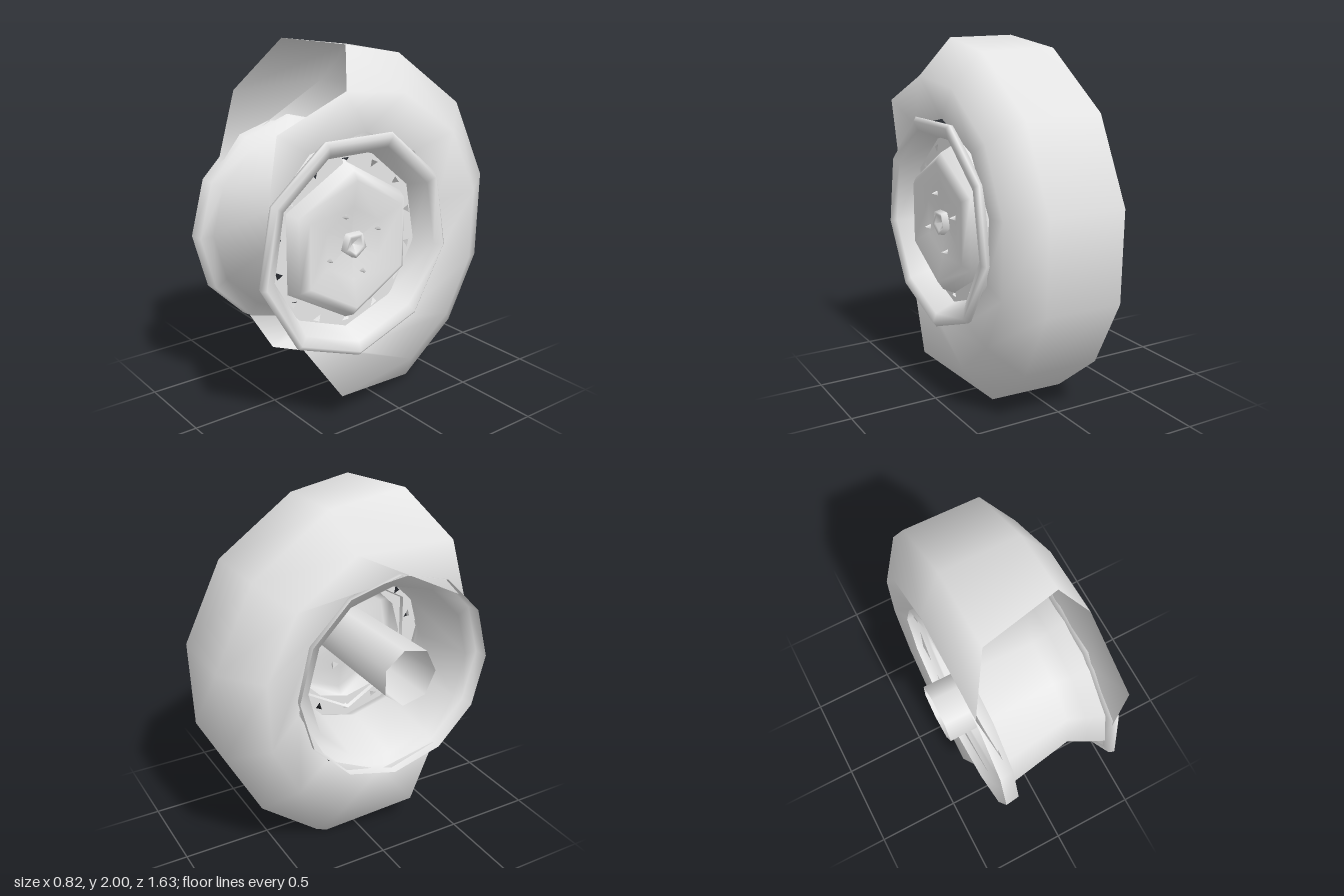
import * as THREE from 'three';

const grey = new THREE.MeshStandardMaterial({ color: 0xe6e6e6, side: THREE.DoubleSide });
grey.name = 'plain grey';
const RAD = Math.PI / 180;

function add(parent, name, geometry) {
  const mesh = new THREE.Mesh(geometry, grey);
  mesh.name = name;
  parent.add(mesh);
  return mesh;
}

// Profile of [radius, x] points turned around the axle, one corner straight down
function turned(parent, name, profile, sides) {
  const points = profile.map(([r, x]) => new THREE.Vector2(r, x));
  const geo = new THREE.LatheGeometry(points, sides, Math.PI / 2);
  return add(parent, name, geo.rotateZ(-Math.PI / 2));
}

// Cut-open band; stations are [x, radius, angles, normalX, normalR] from +x to -x,
// with angles in degrees running from the top towards the back
function band(parent, name, stations) {
  const pos = [], nor = [], idx = [];
  const row = stations[0][2].length;
  stations.forEach(([x, r, angles, nx, nr], j) => {
    const len = Math.hypot(nx, nr);
    angles.forEach((deg, i) => {
      const c = Math.cos(deg * RAD), s = -Math.sin(deg * RAD);
      pos.push(x, r * c, r * s);
      nor.push(nx / len, nr / len * c, nr / len * s);
      if (j && i) {
        const b = j * row + i, d = b - row;
        idx.push(d - 1, b - 1, d, d, b - 1, b);
      }
    });
  });
  const geo = new THREE.BufferGeometry();
  geo.setAttribute('position', new THREE.Float32BufferAttribute(pos, 3));
  geo.setAttribute('normal', new THREE.Float32BufferAttribute(nor, 3));
  geo.setIndex(idx);
  return add(parent, name, geo);
}

export function createModel() {
  const model = new THREE.Group();
  const wheel = new THREE.Group();
  wheel.name = 'wheel';
  wheel.position.set(0, 0.962, 0.2);
  model.add(wheel);

  // Tyre shell with its front section cut away; rows share their middle angles
  const tyre = new THREE.Group();
  tyre.name = 'tyre';
  wheel.add(tyre);
  const middle = [20, 50, 78, 106, 130, 154];
  const leftShoulder = [-7, ...middle, 189];
  const rightShoulder = [-22, ...middle, 187];
  const spread = (a, b, n) => Array.from({ length: n }, (_, i) => a + (b - a) * i / (n - 1));
  band(tyre, 'tyreTread', [
    [0.41, 0.83, leftShoulder, 0.85, 0.5],
    [0.27, 1.03, [0, ...middle, 154], 0.3, 1],
    [-0.17, 1.04, [-5, ...middle, 158], -0.3, 1],
    [-0.32, 0.82, rightShoulder, -0.85, 0.5],
  ]);
  band(tyre, 'leftSidewall', [
    [0.36, 0.6, spread(-64, 217, 9), 1, -0.2],
    [0.41, 0.83, [-38, ...leftShoulder], 0.85, 0.5],
  ]);
  band(tyre, 'rightSidewall', [
    [-0.32, 0.82, rightShoulder, -0.85, 0.5],
    [-0.25, 0.6, spread(-50, 210, 8), -1, -0.2],
  ]);

  // Rim barrel with both lips
  turned(wheel, 'rimBarrel', [
    [0.61, -0.3], [0.6, -0.22], [0.52, -0.22], [0.455, 0.17], [0.505, 0.26], [0.55, 0.35],
  ], 12);
  turned(wheel, 'rimLip', [
    [0.56, 0.35], [0.61, 0.36], [0.62, 0.39], [0.595, 0.41], [0.54, 0.39], [0.49, 0.27],
  ], 9);

  // Flat ring of the disc with small three-cornered vents
  const ring = new THREE.Shape();
  const bore = new THREE.Path();
  for (let i = 0; i < 12; i++) {
    const a = i * 30 * RAD, m = i ? 'lineTo' : 'moveTo';
    ring[m](0.5 * Math.cos(a), 0.5 * Math.sin(a));
    bore[m](0.37 * Math.cos(a), 0.37 * Math.sin(a));
  }
  ring.holes.push(bore);
  for (let i = 0; i < 14; i++) {
    const a = (i + 0.5) * 360 / 14 * RAD;
    const p = (r, da) => [r * Math.cos(a + da), r * Math.sin(a + da)];
    const vent = new THREE.Path();
    vent.moveTo(...p(0.455, -0.05));
    vent.lineTo(...p(0.455, 0.05));
    vent.lineTo(...p(0.415, 0.03));
    ring.holes.push(vent);
  }
  add(wheel, 'ventRing', new THREE.ShapeGeometry(ring).rotateY(Math.PI / 2)).position.x = 0.27;

  // Six-sided raised disc with a shallow dish in the middle
  turned(wheel, 'raisedDisc', [
    [0.445, 0.25], [0.4, 0.34], [0.35, 0.375], [0.2, 0.34], [0, 0.32],
  ], 6);

  // Four pointed wheel studs
  for (let i = 0; i < 4; i++) {
    const a = (20 + i * 90) * RAD;
    const stud = add(wheel, 'wheelStud', new THREE.ConeGeometry(0.028, 0.06, 3).rotateZ(-Math.PI / 2));
    stud.position.set(0.345, 0.17 * Math.cos(a), 0.17 * Math.sin(a));
  }

  // Hollow boss at the centre
  turned(wheel, 'centreBoss', [[0.08, 0.32], [0.07, 0.365], [0.05, 0.36], [0, 0.33]], 5);

  // Open axle tube through the back
  const tube = add(wheel, 'axleTube', new THREE.CylinderGeometry(0.16, 0.17, 0.73, 7, 1, true).rotateZ(-Math.PI / 2));
  tube.position.set(-0.045, 0.06, 0);

  return model;
}
